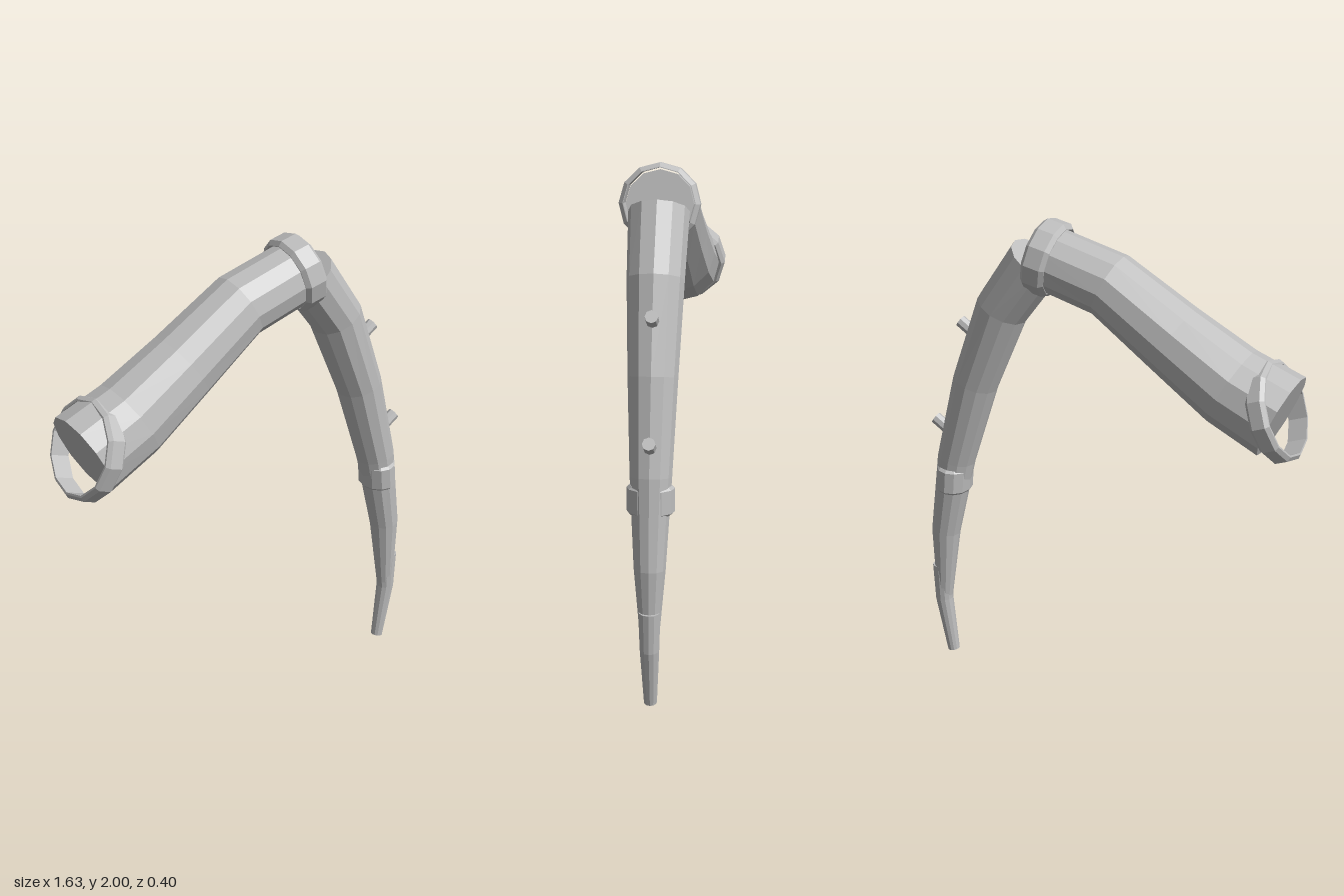
import * as THREE from 'three';

// Closed faceted tube through [x, y, radius] stations, with a ridge on top
function loft(stations, sides) {
  const pos = [], idx = [], last = stations.length - 1;
  stations.forEach(([x, y, r], i) => {
    const a = stations[Math.max(i - 1, 0)], b = stations[Math.min(i + 1, last)];
    const t = new THREE.Vector2(b[0] - a[0], b[1] - a[1]).normalize();
    for (let j = 0; j < sides; j++) {
      const ang = j / sides * Math.PI * 2;
      const n = Math.cos(ang) * r;
      pos.push(x - t.y * n, y + t.x * n, Math.sin(ang) * r);
    }
  });
  for (let i = 0; i < last; i++) {
    for (let j = 0; j < sides; j++) {
      const a = i * sides + j, b = i * sides + (j + 1) % sides;
      idx.push(a, b, b + sides, a, b + sides, a + sides);
    }
  }
  // End caps
  const e = last * sides;
  for (let j = 1; j < sides - 1; j++) idx.push(0, j + 1, j, e, e + j, e + j + 1);
  const g = new THREE.BufferGeometry();
  g.setAttribute('position', new THREE.Float32BufferAttribute(pos, 3));
  g.setIndex(idx);
  return g;
}

// Ring with bevelled outer edges around the y axis
function ring(inner, outer, half, bevel) {
  const profile = [
    [inner, -half], [outer - bevel, -half], [outer, bevel - half],
    [outer, half - bevel], [outer - bevel, half], [inner, half], [inner, -half],
  ].map(([x, y]) => new THREE.Vector2(x, y));
  return new THREE.LatheGeometry(profile, 12);
}

export function createModel() {
  const group = new THREE.Group();
  const grey = new THREE.MeshStandardMaterial({ color: 0xbcbcbc });
  grey.name = 'grey';
  grey.flatShading = true;

  const add = (name, geometry) => {
    const flat = geometry.toNonIndexed();
    flat.computeVertexNormals();
    const mesh = new THREE.Mesh(flat, grey);
    mesh.name = name;
    group.add(mesh);
  };

  // Thick upper limb
  add('upperLimb', loft([
    [-0.73, 1.35, 0.175], [-0.525, 1.442, 0.165], [-0.285, 1.595, 0.147],
    [-0.015, 1.773, 0.132], [0.262, 1.848, 0.128],
  ], 12));

  // Tapering lower limb
  add('lowerLimb', loft([
    [0.30, 1.83, 0.115], [0.455, 1.61, 0.108], [0.585, 1.275, 0.094],
    [0.685, 0.92, 0.079], [0.747, 0.575, 0.06], [0.765, 0.25, 0.032],
  ], 12));

  // Claw at the foot
  add('claw', loft([
    [0.77, 0.41, 0.042], [0.767, 0.25, 0.037], [0.73, 0.01, 0.025],
  ], 12));

  // Collars at both ends of the upper limb
  const hip = ring(0.178, 0.2, 0.04, 0.014);
  hip.rotateZ(-Math.PI / 2 - 0.35);
  hip.translate(-0.712, 1.368, 0);
  add('hipCollar', hip);

  const knee = ring(0.134, 0.153, 0.05, 0.016);
  knee.rotateZ(-Math.PI / 2 + 0.22);
  knee.translate(0.25, 1.846, 0);
  add('kneeCollar', knee);

  // Shin band, showing only on the two broad sides
  const band = ring(0.065, 0.09, 0.055, 0.01);
  band.scale(0.8, 1, 1);
  band.rotateZ(0.08);
  band.translate(0.697, 0.835, 0);
  add('shinBand', band);

  // Short pegs on the outer face
  for (const [x, y] of [[0.615, 1.503], [0.745, 1.06]]) {
    const peg = new THREE.CylinderGeometry(0.025, 0.025, 0.08, 8);
    peg.rotateZ(-Math.PI / 2 + 0.6);
    peg.translate(x, y, 0);
    add('peg', peg);
  }
  return group;
}
